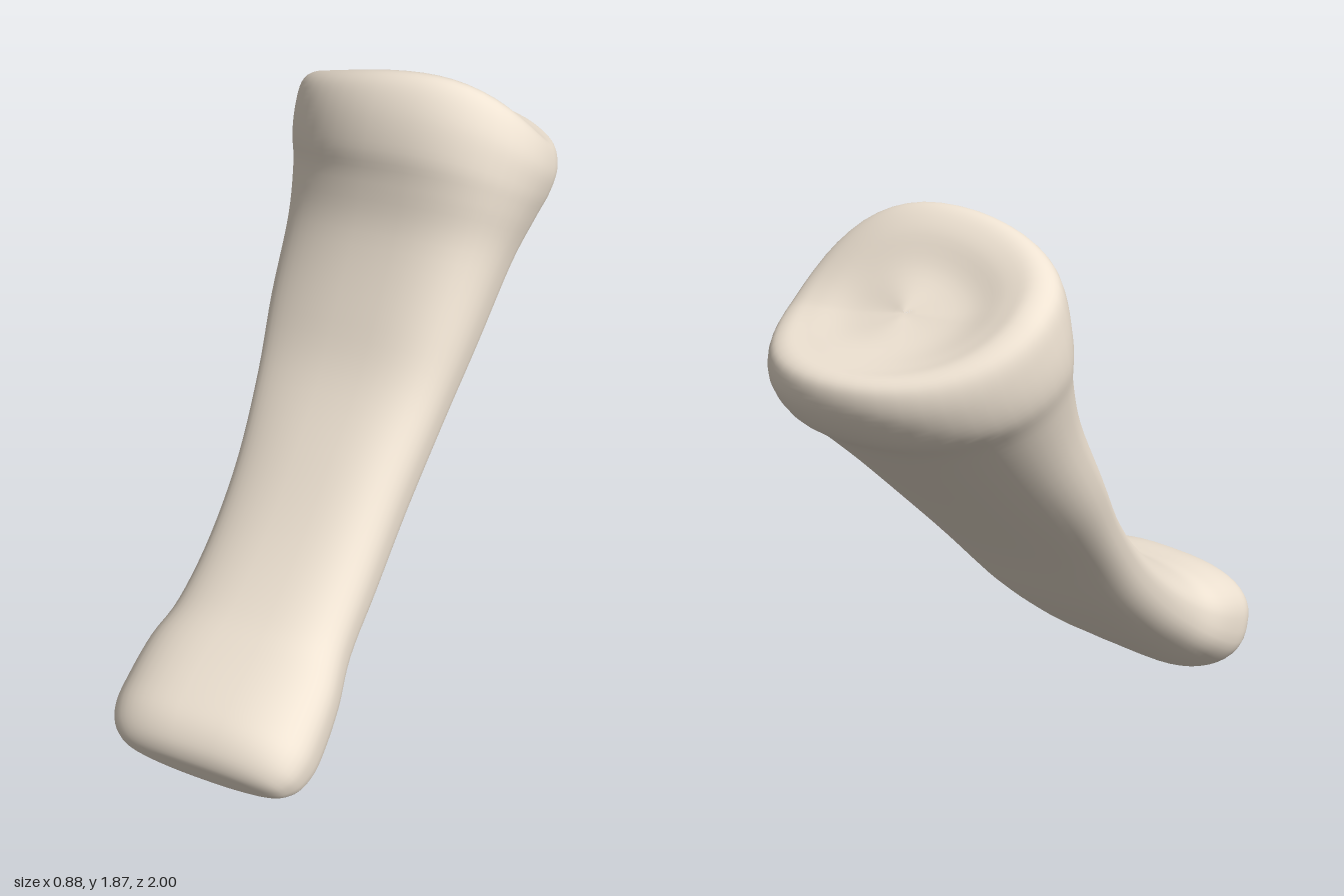
import * as THREE from 'three';
import { mergeVertices } from 'three/addons/utils/BufferGeometryUtils.js';

// Each cross-section: upper edge z, y | lower edge z, y | x min, x max | squareness, side dip
const knuckle = [
  [0.968, 0.17, 0.968, 0.17, -0.08, -0.08, 2.4, 0],
  [0.99, 0.235, 0.93, 0.09, -0.3, 0.15, 2.5, 0],
  [0.98, 0.3, 0.87, 0.035, -0.385, 0.225, 2.6, 0],
  [0.93, 0.36, 0.79, 0.005, -0.42, 0.255, 2.7, 0],
  [0.84, 0.4, 0.71, 0.015, -0.425, 0.26, 2.7, 0],
  [0.7, 0.44, 0.58, 0.095, -0.415, 0.25, 2.7, 0],
];
const shaft = [
  [0.58, 0.49, 0.42, 0.2, -0.375, 0.225, 2.6, 0],
  [0.39, 0.62, 0.25, 0.32, -0.35, 0.23, 2.6, 0],
  [0.19, 0.79, 0.02, 0.51, -0.345, 0.245, 2.6, 0],
  [-0.01, 0.98, -0.2, 0.73, -0.365, 0.28, 2.6, 0],
  [-0.13, 1.17, -0.42, 0.93, -0.39, 0.32, 2.5, 0],
  [-0.24, 1.39, -0.65, 1.13, -0.4, 0.36, 2.4, 0],
];
const socket = [
  [-0.275, 1.55, -0.82, 1.27, -0.42, 0.4, 2.3, 0.02],
  [-0.285, 1.66, -0.93, 1.34, -0.44, 0.425, 2.2, 0.035],
  [-0.32, 1.77, -0.99, 1.42, -0.435, 0.435, 2.15, 0.055],
  [-0.37, 1.845, -1.0, 1.49, -0.415, 0.415, 2.1, 0.06],
  [-0.425, 1.86, -0.97, 1.525, -0.36, 0.37, 2.1, 0.06],
  [-0.49, 1.81, -0.9, 1.535, -0.29, 0.3, 2, 0.045],
  [-0.56, 1.71, -0.79, 1.56, -0.17, 0.18, 2, 0.02],
  [-0.67, 1.62, -0.67, 1.62, 0.01, 0.01, 2, 0],
];

// Smooth curve through three columns of the section list
function columns(rows, a, b, c) {
  const points = rows.map((r) => new THREE.Vector3(r[a], r[b], r[c]));
  return new THREE.CatmullRomCurve3(points, false, 'catmullrom', 0.5);
}

function loft(rows, steps, sides) {
  const upper = columns(rows, 0, 1, 4);
  const lower = columns(rows, 2, 3, 5);
  const shape = columns(rows, 6, 7, 7);
  const positions = [];
  const indices = [];
  const power = (v, e) => Math.sign(v) * Math.pow(Math.abs(v), e);

  for (let i = 0; i <= steps; i++) {
    const t = i / steps;
    const A = upper.getPoint(t);
    const B = lower.getPoint(t);
    const { x: squareness, y: sideDip } = shape.getPoint(t);
    // Weights of the three regions along the bone
    const inKnuckle = 1 - THREE.MathUtils.smoothstep(t, 0.2, 0.45);
    const inSocket = THREE.MathUtils.smoothstep(t, 0.62, 0.8);
    const inShaft = (1 - inKnuckle) * (1 - inSocket);
    for (let j = 0; j < sides; j++) {
      const angle = (j / sides) * Math.PI * 2;
      const cos = Math.cos(angle);
      const sin = Math.sin(angle);
      // The upper edge of the shaft is full on the +x side and rounded off on the -x side
      const upperSquareness = squareness + 0.2 + (cos > 0 ? 0.1 : -0.6) * inShaft;
      const along = power(sin, 2 / (sin > 0 ? upperSquareness : squareness - 0.2));
      // The underside of the knuckle is narrower than its top
      const taper = sin < 0 ? 1 - 0.15 * inKnuckle * along * along : 1;
      const across = power(cos, 2 / squareness) * taper;
      // The rim of the socket dips lower on the +x side
      const dip = sideDip * (1 - along * along) * (1 + 0.6 * across);
      const x = (A.z + B.z) / 2 + (across * (B.z - A.z)) / 2;
      let z = (A.x + B.x) / 2 + (along * (A.x - B.x)) / 2;
      let y = (A.y + B.y) / 2 + (along * (A.y - B.y)) / 2;
      // Both ends and the upper face of the shaft slope up towards +x
      const slope = 0.14 * x * inShaft * Math.max(0, sin);
      y += slope - 0.85 * dip + (x + 0.08) * 0.1 * inKnuckle + x * 0.1 * inSocket * Math.max(0, sin);
      z += slope + 0.53 * dip + (x + 0.08) * 0.07 * inKnuckle;
      positions.push(x, y, z);
      if (i < steps) {
        const next = (j + 1) % sides;
        const a = i * sides + j;
        const b = a + sides;
        const c = i * sides + next;
        const d = c + sides;
        if (i > 0) indices.push(a, b, c);
        if (i < steps - 1) indices.push(b, d, c);
      }
    }
  }
  const geometry = new THREE.BufferGeometry();
  geometry.setAttribute('position', new THREE.Float32BufferAttribute(positions, 3));
  geometry.setIndex(indices);
  // Weld the two end points so shading stays smooth
  const merged = mergeVertices(geometry, 1e-5);
  merged.computeVertexNormals();
  return merged;
}

export function createModel() {
  const model = new THREE.Group();
  model.name = 'fingerBone';
  const material = new THREE.MeshStandardMaterial({ color: 0xeee2d2 });

  // One continuous bone: knuckle end, curved shaft and dished socket end
  const bone = new THREE.Mesh(loft([...knuckle, ...shaft, ...socket], 95, 48), material);
  bone.name = 'bone';
  model.add(bone);

  // Stand on the ground, centred
  const box = new THREE.Box3().setFromObject(model);
  const centre = box.getCenter(new THREE.Vector3());
  bone.position.set(-centre.x, -box.min.y, -centre.z);
  return model;
}
